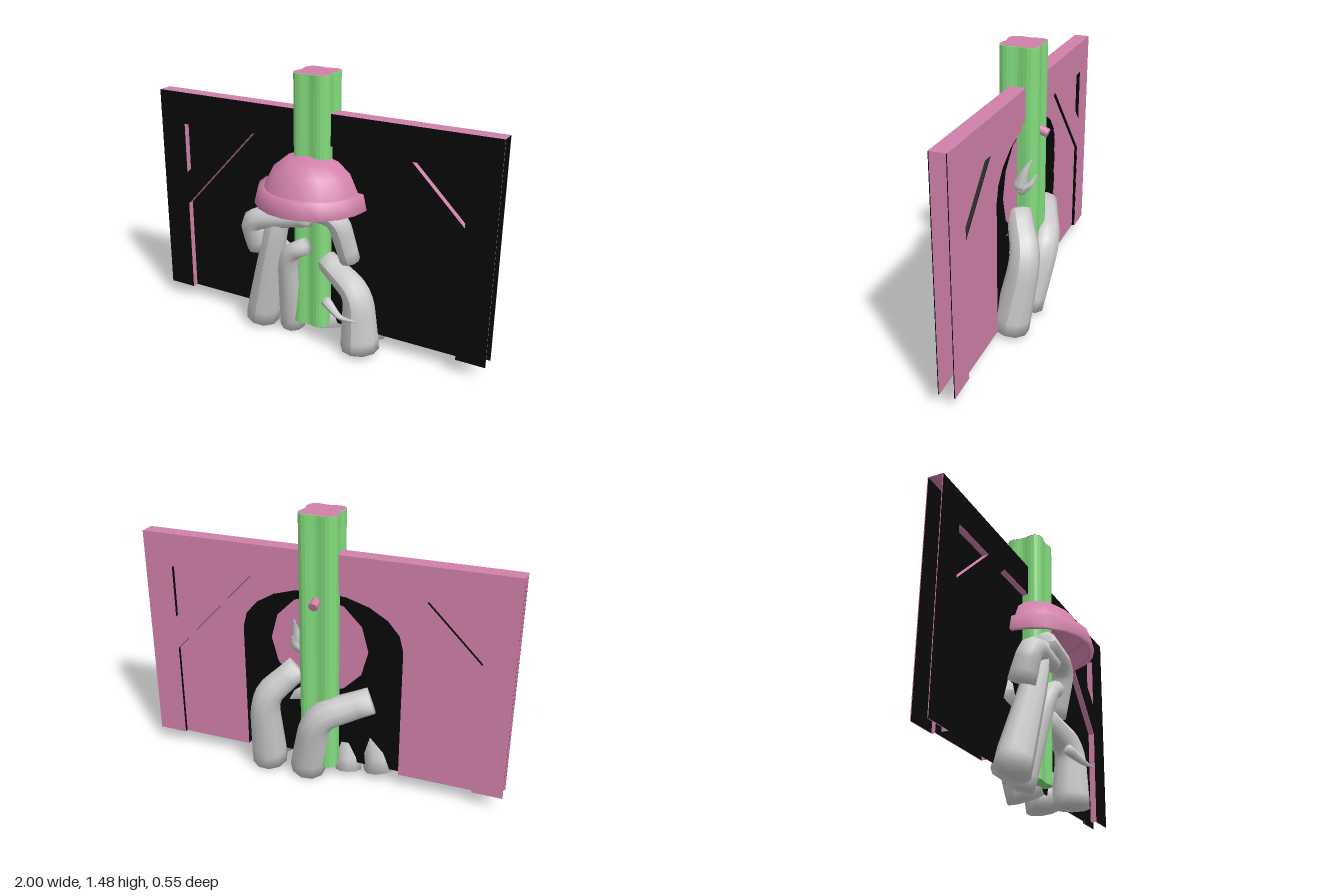
import * as THREE from 'three';

const std = (color) => new THREE.MeshStandardMaterial({ color, side: THREE.DoubleSide });
const grey = std(0xcccccc);
const pink = std(0xd080aa);
const green = std(0x84de7e);
const black = std(0x080808);
const P = (x, y) => new THREE.Vector2(x, y);
const V = (x, y, z) => new THREE.Vector3(x, y, z);
const mirrored = (pts) => pts.map((p) => P(-p.x, p.y)).reverse();

// Flat sheet facing +z, with optional holes
function sheet(outline, holes, z) {
  const s = new THREE.Shape(outline);
  for (const h of holes) s.holes.push(new THREE.Path(h));
  return new THREE.ShapeGeometry(s).translate(0, 0, z);
}

// Band of walls following an open outline between two depths
function ribbon(pts, z0, z1) {
  const pos = [];
  for (let i = 0; i < pts.length - 1; i++) {
    const a = pts[i], b = pts[i + 1];
    pos.push(a.x, a.y, z0, b.x, b.y, z0, b.x, b.y, z1, a.x, a.y, z0, b.x, b.y, z1, a.x, a.y, z1);
  }
  const g = new THREE.BufferGeometry();
  g.setAttribute('position', new THREE.Float32BufferAttribute(pos, 3));
  g.computeVertexNormals();
  return g;
}

// Limb with one elbow: radius runs from r0 to r1, with flat capped ends
function limb(foot, elbow, tip, r0, r1, segs = 18, sides = 10) {
  const before = elbow.clone().lerp(foot, 0.3);
  const after = elbow.clone().lerp(tip, 0.3);
  const curve = new THREE.CurvePath();
  curve.add(new THREE.LineCurve3(foot, before));
  curve.add(new THREE.QuadraticBezierCurve3(before, elbow, after));
  curve.add(new THREE.LineCurve3(after, tip));
  const g = new THREE.TubeGeometry(curve, segs, 1, sides, false);
  const p = g.attributes.position;
  const v = new THREE.Vector3();
  for (let i = 0; i <= segs; i++) {
    const c = curve.getPointAt(i / segs);
    const r = i === 0 || i === segs ? 0 : THREE.MathUtils.lerp(r0, r1, i / segs);
    // the end rings close the caps; their neighbours slide out to the tips
    const at = i === 1 ? foot : i === segs - 1 ? tip : c;
    for (let j = 0; j <= sides; j++) {
      const k = i * (sides + 1) + j;
      v.fromBufferAttribute(p, k).sub(c).multiplyScalar(r).add(at);
      p.setXYZ(k, v.x, v.y, v.z);
    }
  }
  g.computeVertexNormals();
  return g;
}

function createWall(add) {
  // Hollow wall, open at both ends and below
  const wall = new THREE.Group();
  wall.name = 'wall';
  const front = -0.037, back = -0.118, base = 0.08, top = 1.28;
  const frontInset = -0.07, backInset = -0.1;
  const halfBay = [P(0.84, base), P(0.84, 0.62), P(0.38, 1.11)];
  const bay = [...halfBay, ...mirrored(halfBay)];
  const frame = [...bay, P(-1, base), P(-1, top), P(1, top), P(1, base)];
  const triangle = [P(0.84, 0.81), P(0.84, 1.1), P(0.55, 1.1)];
  const triangles = [triangle, mirrored(triangle)];
  const arch = [];
  for (let i = 0; i <= 10; i++) {
    const a = (i / 10) * Math.PI;
    arch.push(P(0.44 * Math.cos(a), 0.81 + 0.26 * Math.sin(a)));
  }
  const opening = [P(0.44, base), ...arch, P(-0.44, base)];
  const bayWithArch = [...bay, ...[...opening].reverse()];

  // Thin plates: black on the front face, pink on the back face
  const addPlate = (name, outline, holes, z) => {
    add(name, sheet(outline, holes, z + 0.002), black, wall);
    add(name + 'Back', sheet(outline, holes, z - 0.002), pink, wall);
  };
  addPlate('frontFrame', frame, triangles, front);
  addPlate('backFrame', frame, triangles, back);
  addPlate('backPanel', bayWithArch, [], backInset);
  add('frontPanel', sheet(bay, [], frontInset), black, wall);

  // Recess edges, black inside and pink outside
  const addEdge = (name, pts, z0, z1) => {
    add(name, ribbon(pts, z0, z1), black, wall);
    add(name + 'Outside', ribbon(pts, z0, z1).scale(1.004, 1.002, 1), pink, wall);
  };
  add('frontBayEdge', ribbon(bay, front, frontInset), pink, wall);
  addEdge('backBayEdge', bay, back, backInset);
  addEdge('archEdge', opening, frontInset, backInset);
  for (const t of triangles) {
    const loop = [...t, t[0]];
    add('frontTrianglePanel', sheet(t, [], frontInset), black, wall);
    add('frontTriangleEdge', ribbon(loop, front, frontInset), pink, wall);
    add('backTrianglePanel', sheet(t, [], backInset), pink, wall);
    add('backTriangleEdge', ribbon(loop, back, backInset), black, wall);
  }
  add('wallTop', ribbon([P(-1, top), P(1, top)], -0.035, -0.12), pink, wall);
  // Round plate seen inside the arch
  add('archDisc', new THREE.CircleGeometry(0.27, 12).translate(0.02, 0.76, -0.075), pink, wall);
  return wall;
}

export function createModel() {
  const model = new THREE.Group();
  const add = (name, geometry, material, parent = model) => {
    const m = new THREE.Mesh(geometry, material);
    m.name = name;
    parent.add(m);
    return m;
  };
  model.add(createWall(add));

  // Lobed post with a cap and a small peg behind
  const lobes = [];
  for (let i = 0; i < 40; i++) {
    const a = (i / 40) * Math.PI * 2;
    const r = 0.109 - 0.017 * Math.cos(4 * a);
    lobes.push(P(r * Math.cos(a), r * Math.sin(a) * 1.01));
  }
  const section = new THREE.Shape(lobes);
  const post = new THREE.ExtrudeGeometry(section, { depth: 1.4, bevelEnabled: false });
  add('post', post.rotateX(-Math.PI / 2).translate(0, 0.08, -0.073), green);
  add('postCap', new THREE.ShapeGeometry(section).rotateX(-Math.PI / 2).translate(0, 1.482, -0.073), pink);
  const peg = add('peg', new THREE.CylinderGeometry(0.025, 0.025, 0.07, 8), pink);
  peg.position.set(0, 1.035, -0.175);
  peg.rotation.x = Math.PI / 2 - 0.35;

  // Half dome canopy with a sloped rim
  const half = (pts) => new THREE.LatheGeometry(pts, 10, -Math.PI / 2, Math.PI).translate(0, 0, -0.035);
  add('canopyRim', half([P(0.285, 0.8), P(0.313, 0.8), P(0.293, 0.885), P(0.25, 0.887)]), pink);
  add('canopyDome', half([P(0.285, 0.8), P(0.262, 0.885), P(0.215, 0.98), P(0.145, 1.037), P(0.06, 1.057), P(0, 1.062)]), pink);

  // Limbs clustered around the post: foot, elbow, tip and end radii
  const addLimb = (name, r0, r1, foot, elbow, tip) => add(name, limb(foot, elbow, tip, r0, r1), grey);
  addLimb('frontRightLeg', 0.1, 0.055, V(-0.32, 0.04, -0.01), V(-0.19, 0.58, 0.06), V(-0.14, 0.76, 0.05));
  addLimb('frontInnerLeg', 0.075, 0.045, V(-0.14, 0.02, -0.05), V(-0.1, 0.51, 0.08), V(0.02, 0.58, 0.07));
  addLimb('frontLeftLeg', 0.107, 0.06, V(0.32, 0.03, 0.02), V(0.31, 0.35, 0.03), V(0.08, 0.47, -0.03));
  addLimb('rightArm', 0.075, 0.045, V(-0.3, 0.5, 0.03), V(-0.32, 0.68, 0.09), V(0.03, 0.73, 0.05));
  addLimb('leftArm', 0.065, 0.055, V(-0.1, 0.8, 0.06), V(0.19, 0.77, 0.05), V(0.23, 0.51, -0.02));
  addLimb('backLeftLeg', 0.1, 0.065, V(0.3, 0.03, -0.12), V(0.29, 0.46, -0.2), V(0.13, 0.62, -0.1));
  addLimb('backInnerLeg', 0.1, 0.07, V(0.07, 0.03, -0.12), V(-0.01, 0.4, -0.2), V(-0.28, 0.5, -0.1));
  // Thin claws
  addLimb('frontClaw', 0.03, 0.004, V(0.14, 0.29, 0.08), V(0.25, 0.24, 0.13), V(0.35, 0.245, 0.14));
  addLimb('upperBackClaw', 0.04, 0.004, V(0.12, 0.76, -0.1), V(0.13, 0.85, -0.13), V(0.12, 0.92, -0.165));
  addLimb('lowerBackClaw', 0.03, 0.004, V(0.12, 0.74, -0.1), V(0.13, 0.78, -0.16), V(0.12, 0.84, -0.19));

  return model;
}
